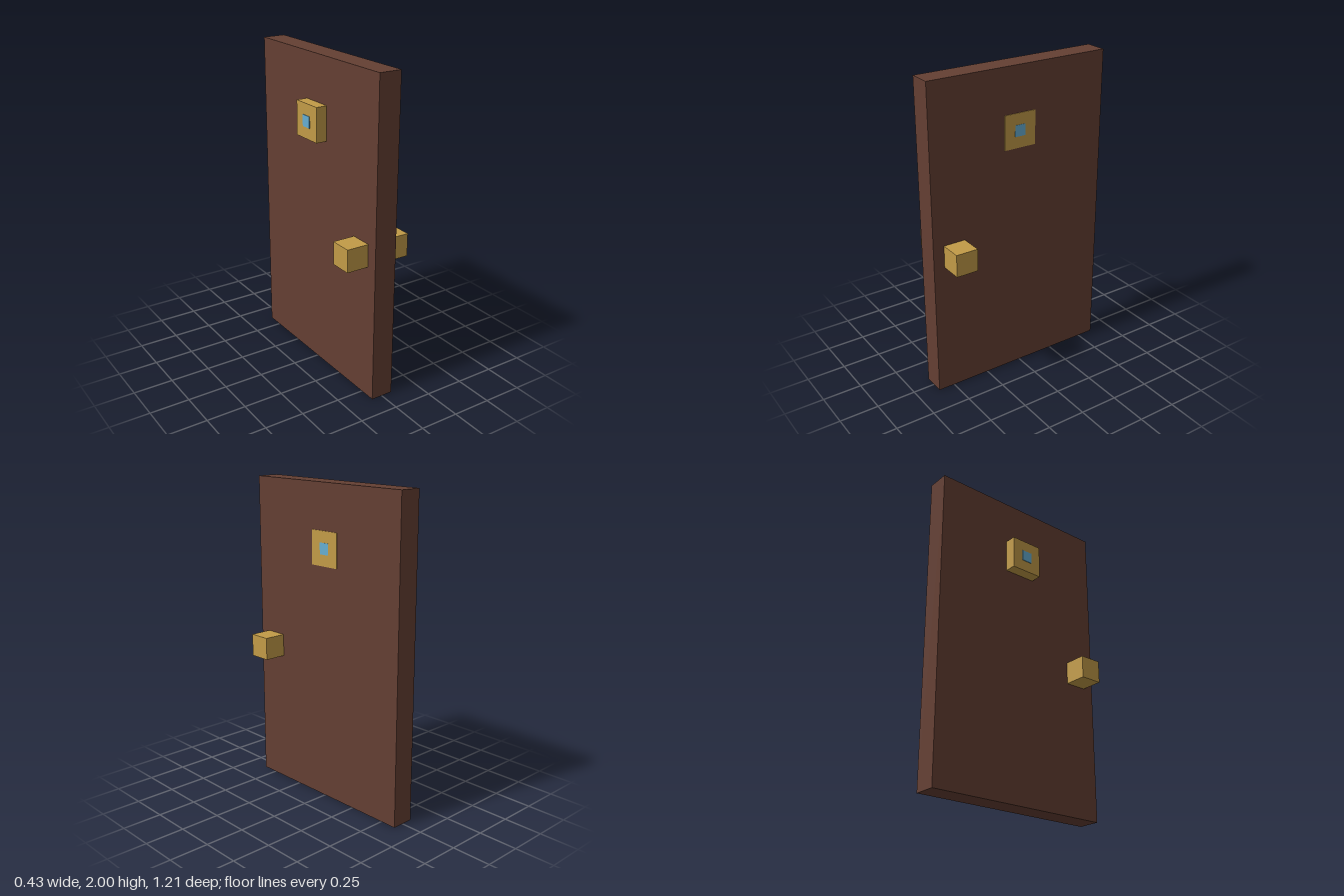
import * as THREE from 'three';

// Everything sits on a block grid: the door is 28 units tall.
const U = 2 / 28;
const T = 0.004; // thickness of painted plates

export function createModel() {
  const wood = new THREE.MeshStandardMaterial({ color: 0x643f33 });
  wood.name = 'dark wood';
  const brass = new THREE.MeshStandardMaterial({ color: 0xc29b47 });
  brass.name = 'brass';
  const glass = new THREE.MeshStandardMaterial({ color: 0x66aed2 });
  glass.name = 'blue glass';

  const group = new THREE.Group();
  group.name = 'door';

  // Box given by its size and centre
  const box = (name, material, size, centre) => {
    const mesh = new THREE.Mesh(new THREE.BoxGeometry(...size), material);
    mesh.name = name;
    mesh.position.set(...centre);
    group.add(mesh);
  };

  const windowY = 22.5 * U;

  // Door slab
  box('doorPanel', wood, [2 * U, 28 * U, 17 * U], [0, 14 * U, 0]);

  // Cube knobs on both faces
  for (const [side, s] of [['left', 1], ['right', -1]]) {
    box(side + 'Knob', brass, [2 * U, 2 * U, 2 * U], [s * 2 * U, 13 * U, 6.5 * U]);
  }

  // Peephole: flush on the left face, raised on the right face
  box('leftPeepholePlate', brass, [T, 3 * U, 3 * U], [U + T / 2, windowY, 0]);
  box('leftPeepholeGlass', glass, [T, U, U], [U + T, windowY, 0]);
  box('rightPeepholeHousing', brass, [U, 3 * U, 3 * U], [-1.5 * U, windowY, 0]);
  box('rightPeepholeGlass', glass, [T, U, U], [-2 * U - T / 2, windowY, 0]);

  return group;
}
